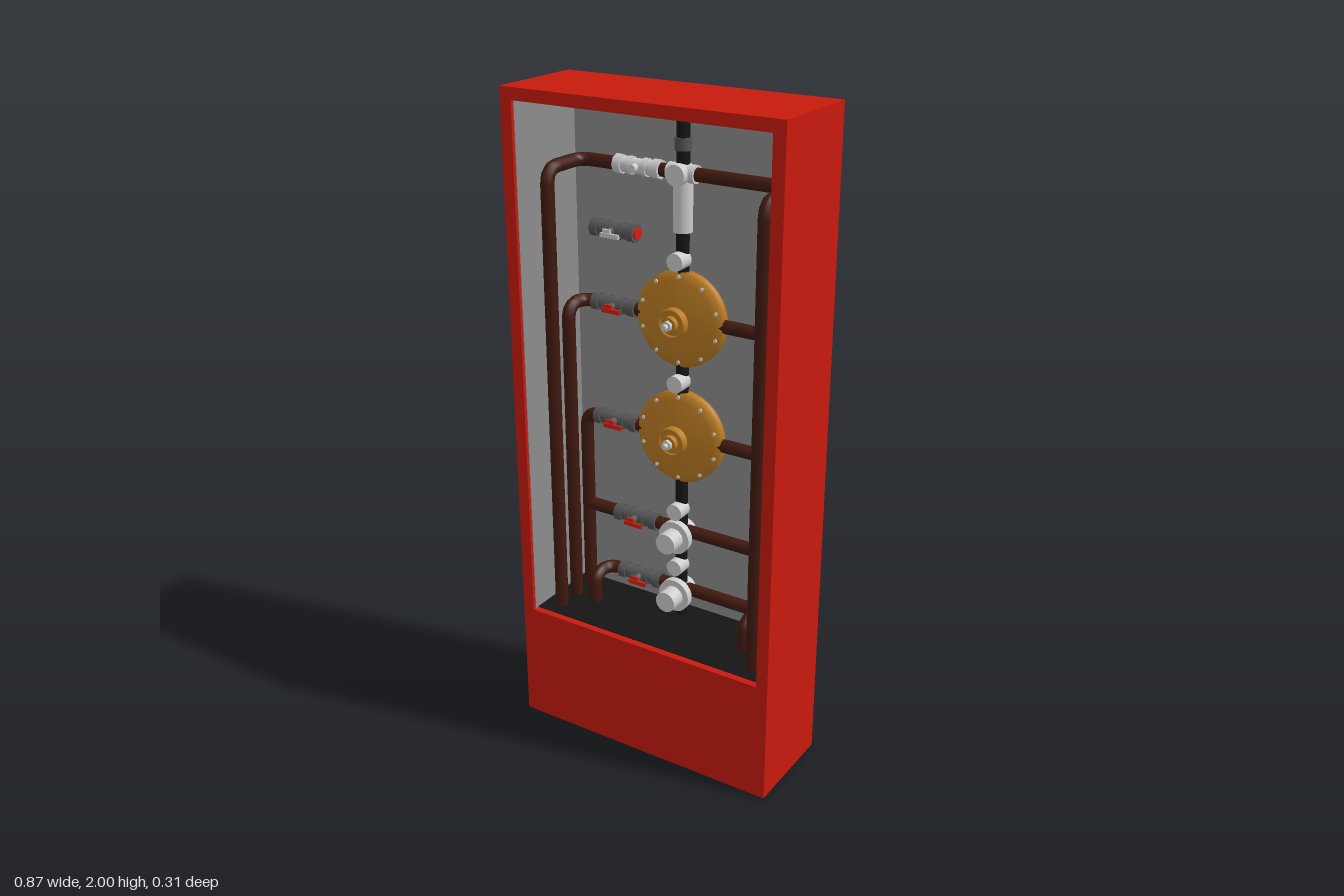
import * as THREE from 'three';

const mat = (color, side = THREE.FrontSide) => new THREE.MeshStandardMaterial({ color, side });
const RED = mat(0xc81a0e), LINER = mat(0x8c8c8c), BLACK = mat(0x151515), RUST = mat(0x40190f);
const GOLD = mat(0xb97a22, THREE.DoubleSide), STEEL = mat(0xcccccc), DARK = mat(0x555555), HANDLE = mat(0xd42010);
const PIPE_Z = -0.08, FLOOR_Y = 0.376;
const AXES = { x: [0, 0, -Math.PI / 2], y: [0, 0, 0], z: [Math.PI / 2, 0, 0] };

function add(parent, name, geometry, material, x = 0, y = 0, z = 0) {
  const mesh = new THREE.Mesh(geometry, material);
  mesh.name = name;
  mesh.position.set(x, y, z);
  parent.add(mesh);
  return mesh;
}

function group(parent, name, x, y, z) {
  const g = new THREE.Group();
  g.name = name;
  g.position.set(x, y, z);
  parent.add(g);
  return g;
}

const box = (p, name, m, w, h, d, x, y, z) => add(p, name, new THREE.BoxGeometry(w, h, d), m, x, y, z);

// Cylinder whose axis runs along x, y or z
function rod(p, name, m, axis, r, length, x = 0, y = 0, z = 0, sides = 24) {
  const mesh = add(p, name, new THREE.CylinderGeometry(r, r, length, sides), m, x, y, z);
  mesh.rotation.set(...AXES[axis]);
  return mesh;
}

// Tube along straight runs joined by rounded elbows
function pipe(p, name, corners, bend = 0.045) {
  const pts = corners.map(c => new THREE.Vector3(...c));
  const path = new THREE.CurvePath();
  let from = pts[0];
  for (let i = 1; i < pts.length - 1; i++) {
    const a = pts[i].clone().add(pts[i - 1].clone().sub(pts[i]).setLength(bend));
    const b = pts[i].clone().add(pts[i + 1].clone().sub(pts[i]).setLength(bend));
    path.add(new THREE.LineCurve3(from, a));
    path.add(new THREE.QuadraticBezierCurve3(a, pts[i], b));
    from = b;
  }
  path.add(new THREE.LineCurve3(from, pts[pts.length - 1]));
  add(p, name, new THREE.TubeGeometry(path, 160, 0.02, 12), RUST);
}

// Pipe rising from the floor, crossing the cabinet and descending again
function loopPipe(p, name, x, y, z) {
  const half = [[x, FLOOR_Y, z], [x, y, z]];
  if (z > PIPE_Z) half.push([x, y, PIPE_Z]);
  const other = half.map(c => [-c[0], c[1], c[2]]).reverse();
  pipe(p, name, [...half.map(c => [-c[0], c[1], c[2]]), ...other.map(c => [-c[0], c[1], c[2]])]);
}

function buildCabinet(root) {
  const g = group(root, 'cabinet', 0, 0, 0);
  const shape = new THREE.Shape([[-0.437, 0], [0.437, 0], [0.437, 2], [-0.437, 2]].map(c => new THREE.Vector2(...c)));
  shape.holes.push(new THREE.Path([[-0.4, 0.38], [-0.4, 1.965], [0.4, 1.965], [0.4, 0.38]].map(c => new THREE.Vector2(...c))));
  add(g, 'cabinetFrame', new THREE.ExtrudeGeometry(shape, { depth: 0.287, bevelEnabled: false }), RED, 0, 0, -0.13);
  box(g, 'cabinetBack', RED, 0.874, 2, 0.027, 0, 1, -0.1435);
  // Interior lining, stopping just behind the front lip
  box(g, 'backLining', LINER, 0.8, 1.585, 0.002, 0, 1.1725, -0.129);
  for (const s of [-1, 1]) box(g, 'sideLining', LINER, 0.002, 1.585, 0.277, s * 0.399, 1.1725, 0.0085);
  box(g, 'topLining', LINER, 0.8, 0.002, 0.277, 0, 1.964, 0.0085);
  box(g, 'floor', BLACK, 0.8, 0.002, 0.265, 0, 0.381, 0.0025);
}

// Inline valve with end collars and a lever
function ballValve(root, name, x, y, body, lever) {
  const g = group(root, name, x, y, PIPE_Z);
  rod(g, 'valveBody', body, 'x', 0.022, 0.15);
  for (const s of [-1, 1]) {
    rod(g, 'endCollar', body, 'x', 0.028, 0.024, s * 0.063, 0, 0, 8);
    rod(g, 'innerCollar', body, 'x', 0.026, 0.014, s * 0.026);
  }
  rod(g, 'valveStem', body, 'z', 0.012, 0.036, 0, 0, 0.022);
  if (lever) {
    box(g, 'leverHub', lever, 0.026, 0.022, 0.008, 0, 0, 0.042);
    box(g, 'lever', lever, 0.062, 0.013, 0.008, 0.012, -0.006, 0.045);
  }
  return g;
}

// Large round diaphragm regulator facing forwards
function regulator(root, y) {
  const g = group(root, 'regulator', 0, y, PIPE_Z);
  const profile = [[0, -0.042], [0.06, -0.04], [0.115, -0.024], [0.14, -0.018], [0.142, -0.004], [0.137, -0.001],
    [0.137, 0.001], [0.142, 0.004], [0.142, 0.018], [0.118, 0.022], [0.06, 0.04], [0, 0.043]];
  const shell = add(g, 'regulatorShell', new THREE.LatheGeometry(profile.map(c => new THREE.Vector2(...c)), 48), GOLD);
  shell.rotation.x = Math.PI / 2;
  rod(g, 'regulatorBoss', GOLD, 'z', 0.044, 0.03, 0, 0, 0.046);
  add(g, 'bossRing', new THREE.TorusGeometry(0.04, 0.005, 8, 32), GOLD, 0, 0, 0.061);
  rod(g, 'regulatorNeck', GOLD, 'z', 0.024, 0.02, 0, 0, 0.068);
  rod(g, 'adjusterNut', STEEL, 'z', 0.016, 0.014, 0, 0, 0.082, 6);
  rod(g, 'adjusterScrew', STEEL, 'z', 0.008, 0.02, 0, 0, 0.092, 12);
  for (let i = 0; i < 10; i++) {
    const a = (i + 0.5) * Math.PI / 5;
    rod(g, 'rimBolt', STEEL, 'z', 0.006, 0.05, 0.128 * Math.cos(a), 0.128 * Math.sin(a), 0, 6);
  }
}

// Smaller steel regulator with flange and front cap
function roundValve(root, y) {
  const g = group(root, 'roundValve', 0, y, PIPE_Z);
  rod(g, 'valveCore', STEEL, 'z', 0.036, 0.06);
  rod(g, 'valveFlange', STEEL, 'z', 0.053, 0.022, 0, 0, 0.035);
  rod(g, 'valveCap', STEEL, 'z', 0.033, 0.05, 0, 0, 0.07);
}

export function createModel() {
  const root = new THREE.Group();
  root.name = 'pipeCabinet';
  buildCabinet(root);

  // Pipework
  rod(root, 'mainRiser', BLACK, 'y', 0.019, 1.584, 0, 1.172, PIPE_Z);
  loopPipe(root, 'topLoop', 0.345, 1.772, 0.08);
  loopPipe(root, 'upperLoop', 0.345, 1.353, 0);
  loopPipe(root, 'middleLoop', 0.345, 0.987, PIPE_Z);
  rod(root, 'crossPipe', RUST, 'x', 0.02, 0.69, 0, 0.674, PIPE_Z, 12);
  loopPipe(root, 'lowerLoop', 0.27, 0.472, 0);

  // Inline valves
  ballValve(root, 'topValve', -0.145, 1.772, STEEL, null);
  const spare = ballValve(root, 'spareValve', -0.23, 1.578, DARK, STEEL);
  rod(spare, 'endCap', HANDLE, 'x', 0.018, 0.008, 0.077);
  for (const [x, y] of [[-0.23, 1.353], [-0.23, 0.987], [-0.16, 0.674], [-0.147, 0.472]]) {
    ballValve(root, 'leverValve', x, y, DARK, HANDLE);
  }

  // Regulators and round valves on the riser
  for (const y of [1.353, 0.987]) regulator(root, y);
  for (const y of [0.663, 0.462]) roundValve(root, y);

  // Gauges
  for (const y of [1.528, 1.162, 0.748, 0.557]) {
    rod(root, 'gauge', STEEL, 'z', 0.026, 0.05, 0, y, PIPE_Z + 0.02);
  }

  // Relief valve at the top of the riser
  const relief = group(root, 'reliefValve', 0, 1.772, PIPE_Z);
  rod(relief, 'reliefBody', STEEL, 'y', 0.028, 0.16, 0, -0.085, 0);
  rod(relief, 'reliefTee', STEEL, 'x', 0.026, 0.09);
  rod(relief, 'reliefCap', STEEL, 'z', 0.03, 0.06, 0, 0, 0.015);
  rod(relief, 'reliefCoupling', DARK, 'y', 0.024, 0.035, 0, 0.08, 0);
  return root;
}
